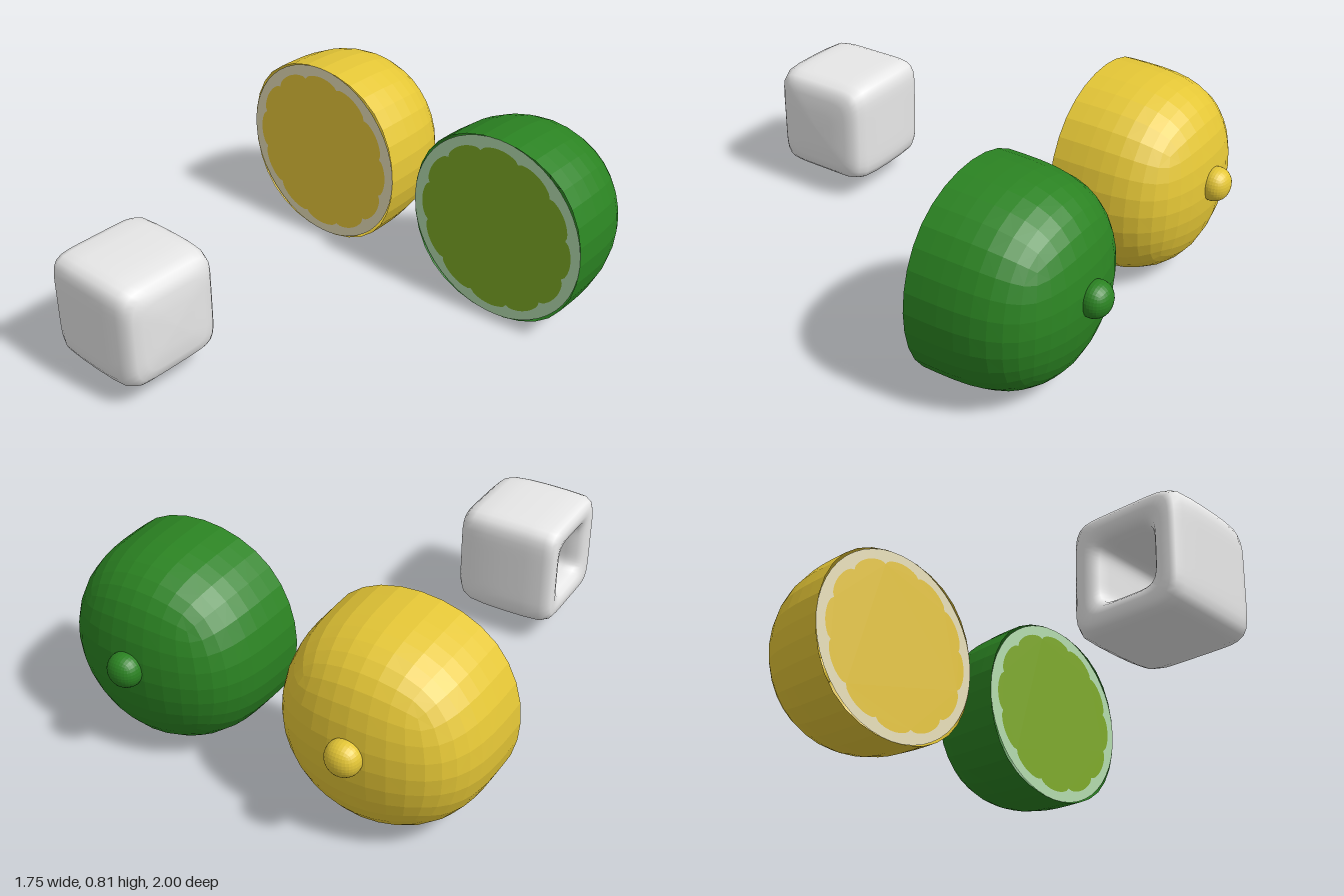
import * as THREE from 'three';

const mat = (name, color, extra = {}) => {
  const m = new THREE.MeshStandardMaterial({ color, ...extra });
  m.name = name;
  return m;
};

const R = 0.406;      // fruit radius
const CUT = -0.43;    // z of the cut face

function part(name, geometry, material) {
  const m = new THREE.Mesh(geometry, material);
  m.name = name;
  return m;
}

// One round of smooth quad subdivision; open borders stay smooth curves
function subdivide(verts, quads) {
  const mean = (...p) => p.reduce((s, q) => s.add(q), new THREE.Vector3()).divideScalar(p.length);
  const centres = quads.map(q => mean(...q.map(i => verts[i])));
  const edges = new Map();
  const key = (a, b) => Math.min(a, b) + '_' + Math.max(a, b);
  quads.forEach((q, f) => q.forEach((a, k) => {
    const b = q[(k + 1) % 4], id = key(a, b);
    if (!edges.has(id)) edges.set(id, { a, b, faces: [] });
    edges.get(id).faces.push(centres[f]);
  }));
  const all = [...edges.values()];
  const out = verts.map((v, i) => {
    const near = all.filter(e => e.a === i || e.b === i);
    const mids = near.map(e => mean(verts[e.a], verts[e.b]));
    const border = mids.filter((_, k) => near[k].faces.length === 1);
    if (border.length) return mean(...border).lerp(v, 0.75 - 0.25);
    const n = near.length;
    const around = mean(...centres.filter((_, f) => quads[f].includes(i)));
    return around.addScaledVector(mean(...mids), 2).addScaledVector(v, n - 3).divideScalar(n);
  });
  const firstCentre = out.length;
  out.push(...centres);
  for (const e of all) {
    e.index = out.length;
    out.push(e.faces.length === 1 ? mean(verts[e.a], verts[e.b]) : mean(verts[e.a], verts[e.b], ...e.faces));
  }
  const split = quads.flatMap((q, f) => q.map((a, k) => [
    a, edges.get(key(a, q[(k + 1) % 4])).index, firstCentre + f, edges.get(key(q[(k + 3) % 4], a)).index,
  ]));
  return [out, split];
}

// Box rounded by subdivision, scaled to fill min..max; optionally open at +z
function softBox(min, max, open) {
  let verts = [...Array(8).keys()].map(i => new THREE.Vector3(i & 1, (i >> 1) & 1, i >> 2));
  let quads = [[1, 3, 7, 5], [0, 4, 6, 2], [2, 6, 7, 3], [0, 1, 5, 4], [0, 2, 3, 1]];
  if (!open) quads.push([4, 5, 7, 6]);
  for (let i = 0; i < 3; i++) [verts, quads] = subdivide(verts, quads);
  const box = new THREE.Box3().setFromPoints(verts);
  const lo = new THREE.Vector3(...min), size = new THREE.Vector3(...max).sub(lo);
  const span = box.getSize(new THREE.Vector3());
  verts.forEach(v => v.sub(box.min).divide(span).multiply(size).add(lo));
  const geo = new THREE.BufferGeometry().setFromPoints(verts);
  geo.setIndex(quads.flatMap(([a, b, c, d]) => [a, b, c, a, c, d]));
  geo.computeVertexNormals();
  return geo;
}

function halfFruit(name, x, rind, pith, flesh) {
  const g = new THREE.Group();
  g.name = name;
  g.position.set(x, 0.408, 0);

  // Rind shell, open at the cut
  g.add(part('rind', softBox([-R, -R, -0.933], [R, R, CUT], true), rind));

  // Cut face
  g.add(part('pith', new THREE.CircleGeometry(R, 48).translate(0, 0, CUT), pith));

  // Scalloped flesh lying on the cut face
  const outline = [];
  for (let i = 0; i < 144; i++) {
    const a = (i / 144) * Math.PI * 2;
    const r = 0.343 + 0.022 * Math.sqrt(Math.abs(Math.cos(6 * a)));
    outline.push(new THREE.Vector2(r * Math.cos(a), r * Math.sin(a)));
  }
  g.add(part('flesh', new THREE.ShapeGeometry(new THREE.Shape(outline)).translate(0, 0, CUT + 0.003), flesh));

  // Rounded stem nub
  g.add(part('stem', softBox([-0.068, -0.034, -1], [0.068, 0.102, -0.88], false), rind));
  return g;
}

// Hollow rounded cube: square loops swept from the closed +x side,
// around the rim on -x and back into the cavity
function hollowCube() {
  const stations = [ // x, half size, squareness
    [0.226, 0, 6], [0.225, 0.08, 6], [0.221, 0.15, 6], [0.211, 0.19, 6], [0.19, 0.211, 7], [0.15, 0.223, 8],
    [0.08, 0.228, 8], [0, 0.229, 8], [-0.1, 0.228, 8], [-0.18, 0.224, 8], [-0.211, 0.213, 7], [-0.224, 0.195, 7],
    [-0.225, 0.165, 6], [-0.217, 0.138, 5], [-0.195, 0.12, 5], [-0.15, 0.111, 5], [0, 0.11, 5],
    [0.07, 0.107, 5], [0.105, 0.085, 5], [0.115, 0.05, 5], [0.115, 0, 5],
  ];
  const N = 64, pos = [], index = [];
  stations.forEach(([x, s, n], i) => {
    for (let j = 0; j < N; j++) {
      const a = (j / N) * Math.PI * 2, c = Math.cos(a), d = Math.sin(a);
      const r = s / Math.pow(Math.abs(c) ** n + Math.abs(d) ** n, 1 / n);
      pos.push(x, r * c, r * d);
      if (i === stations.length - 1) continue;
      const k = (j + 1) % N, a0 = i * N + j, b = a0 + N, e = i * N + k, f = e + N;
      index.push(a0, b, f, a0, f, e);
    }
  });
  const geo = new THREE.BufferGeometry();
  geo.setAttribute('position', new THREE.Float32BufferAttribute(pos, 3));
  geo.setIndex(index);
  geo.computeVertexNormals();
  return geo;
}

export function createModel() {
  const model = new THREE.Group();
  model.name = 'citrusAndIce';
  const shell = { flatShading: true, side: THREE.DoubleSide };

  model.add(halfFruit('lemonHalf', -0.468,
    mat('yellowRind', 0xe4c636, shell), mat('creamPith', 0xe9e0b9), mat('yellowFlesh', 0xe7c63a)));
  model.add(halfFruit('limeHalf', 0.468,
    mat('greenRind', 0x2b8322, shell), mat('paleGreenPith', 0xb3dbad), mat('limeFlesh', 0x7da926)));

  const cube = part('iceCube', hollowCube(), mat('iceWhite', 0xe7e7e7));
  cube.position.set(-0.32, 0.317, 0.773);
  model.add(cube);
  return model;
}
